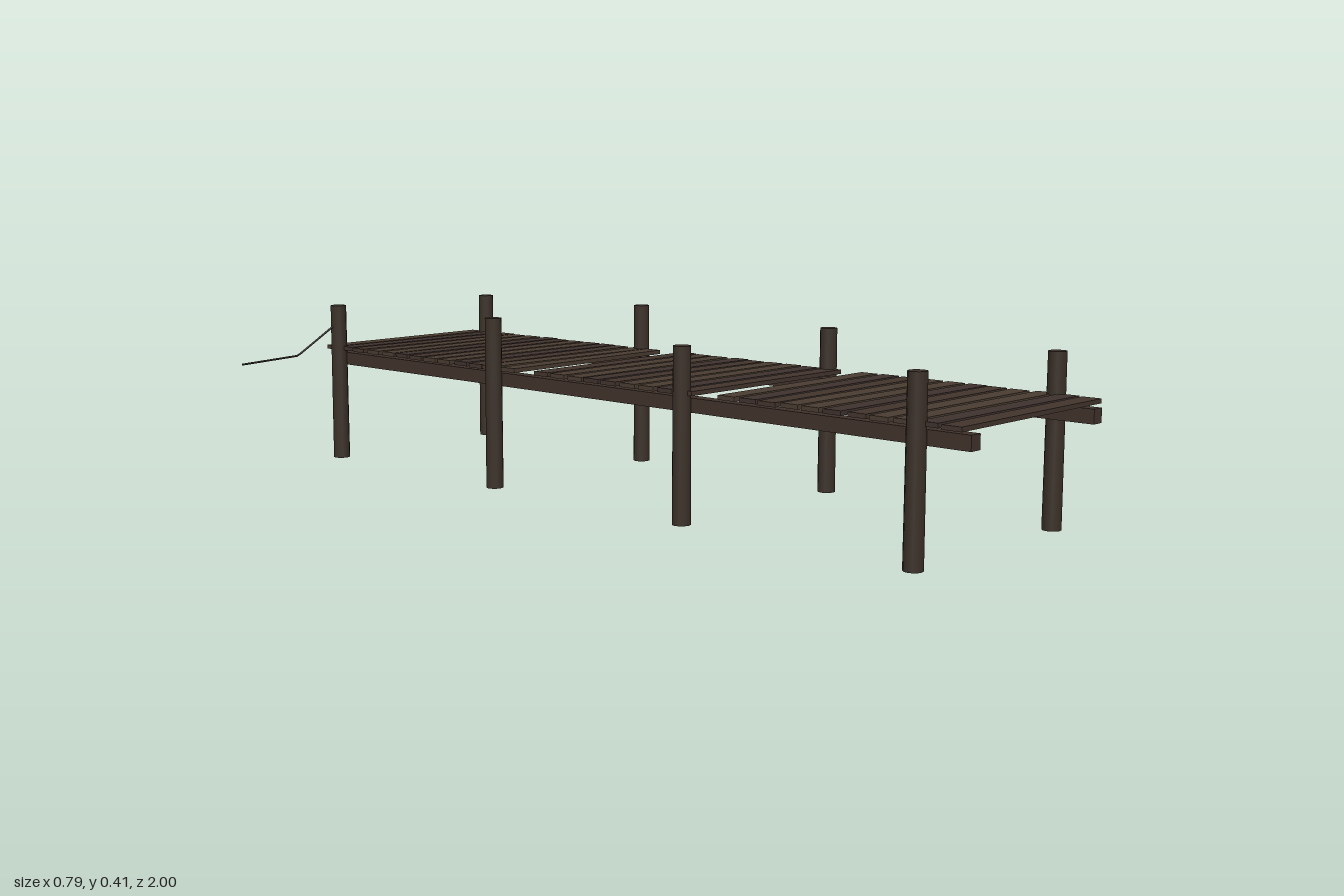
import * as THREE from 'three';

// small seeded generator returning -1..1
function makeJitter(seed) {
  let s = seed;
  return () => {
    s = (s * 16807) % 2147483647;
    return (s / 2147483647) * 2 - 1;
  };
}

export function createModel() {
  const dock = new THREE.Group();
  dock.name = 'dock';
  const jitter = makeJitter(4211);
  const wood = (color) => new THREE.MeshStandardMaterial({ color });
  const postWood = wood(0x3b3028);
  const beamWood = wood(0x40322b);
  const plankWoods = [wood(0x4a3d32), wood(0x43352d), wood(0x3f322e)];
  const ropeMaterial = wood(0x2b2624);

  const add = (name, geometry, material, x, y, z) => {
    const mesh = new THREE.Mesh(geometry, material);
    mesh.name = name;
    mesh.position.set(x, y, z);
    dock.add(mesh);
    return mesh;
  };

  const centreX = 0.115;

  // posts in four pairs: z, height at -x, height at +x
  const pairs = [
    [0.885, 0.39, 0.385],
    [0.28, 0.39, 0.39],
    [-0.325, 0.408, 0.405],
    [-0.93, 0.40, 0.395],
  ];
  for (const [z, hRight, hLeft] of pairs) {
    for (const [side, h] of [[-1, hRight], [1, hLeft]]) {
      const geometry = new THREE.CylinderGeometry(0.02, 0.021, h, 12);
      add(side < 0 ? 'rightPost' : 'leftPost', geometry, postWood, centreX + side * 0.255, h / 2, z);
    }
  }

  // long beams under the deck
  const beam = new THREE.BoxGeometry(0.031, 0.032, 1.98);
  for (const side of [-1, 1]) {
    add(side < 0 ? 'rightBeam' : 'leftBeam', beam, beamWood, centreX + side * 0.2265, 0.261, 0.01);
  }

  // deck planks, slightly crooked, with two missing
  const missing = [13, 23];
  for (let i = 0; i < 35; i++) {
    const shift = jitter() * 0.005;
    const tilt = 0.008 + jitter() * 0.018;
    if (missing.includes(i)) continue;
    const length = 0.514 + (i % 3) * 0.003;
    const plank = add('plank', new THREE.BoxGeometry(length, 0.01, 0.045),
      plankWoods[(i * 2 + (i >> 2)) % 3], centreX + shift, 0.289, -0.955 + i * 0.0566);
    plank.rotation.y = i === 34 ? 0 : tilt;
  }

  // loose rope hanging off the far post
  const ropePath = new THREE.CurvePath();
  const points = [[-0.14, 0.36, -0.925], [-0.252, 0.275, -0.957], [-0.394, 0.261, -0.998]]
    .map((p) => new THREE.Vector3(...p));
  ropePath.add(new THREE.LineCurve3(points[0], points[1]));
  ropePath.add(new THREE.LineCurve3(points[1], points[2]));
  const rope = new THREE.TubeGeometry(ropePath, 24, 0.0025, 6);
  ropeMaterial.side = THREE.DoubleSide;
  add('rope', rope, ropeMaterial, 0, 0, 0);

  return dock;
}
